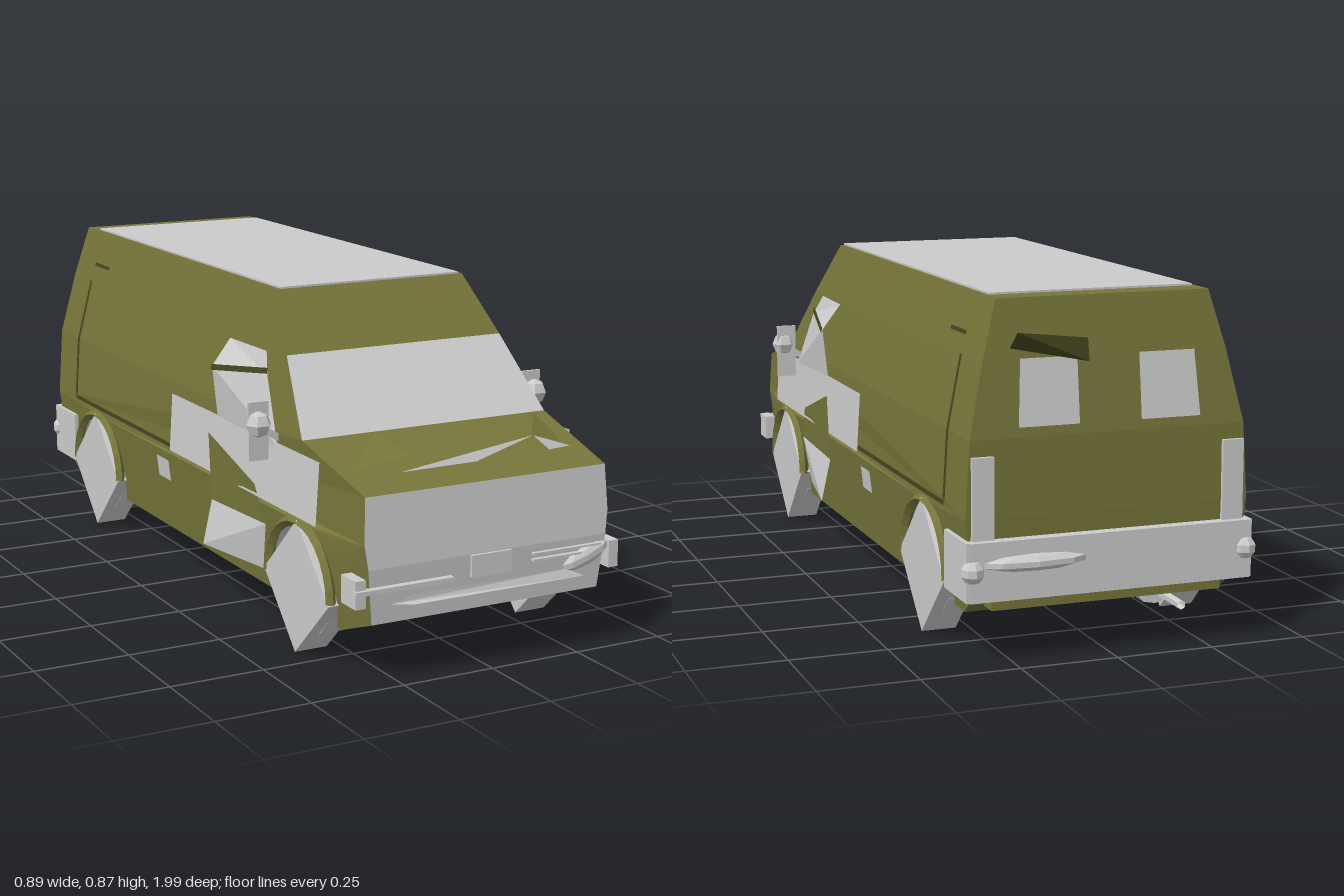
import * as THREE from 'three';

const mat = (color) => new THREE.MeshStandardMaterial({ color, flatShading: true, side: THREE.DoubleSide });
const GREEN = mat(0x76753a), DARK = mat(0x45451f), GREY = mat(0xcccccc);

// half width of the body at height y, narrowing towards the nose
const WIDTH = [[0.115, 0.338], [0.36, 0.367], [0.55, 0.355], [0.73, 0.315], [0.875, 0.275]];
function halfWidth(z, y) {
  let i = 0;
  while (i < WIDTH.length - 2 && y > WIDTH[i + 1][0]) i++;
  const [y0, w0] = WIDTH[i], [y1, w1] = WIDTH[i + 1];
  return w0 + (w1 - w0) * (y - y0) / (y1 - y0) - Math.max(0, z - 0.85) * 0.16;
}

export function createModel() {
  const van = new THREE.Group();
  const add = (name, geometry, material, x = 0, y = 0, z = 0) => {
    const m = new THREE.Mesh(geometry, material);
    m.name = name;
    m.position.set(x, y, z);
    van.add(m);
    return m;
  };
  const box = (name, material, w, h, d, x, y, z) => add(name, new THREE.BoxGeometry(w, h, d), material, x, y, z);
  // flat convex panel from corner points, drawn as a fan
  const panel = (name, material, pts) => {
    const v = [];
    for (let i = 1; i < pts.length - 1; i++) v.push(...pts[0], ...pts[i], ...pts[i + 1]);
    const g = new THREE.BufferGeometry();
    g.setAttribute('position', new THREE.Float32BufferAttribute(v, 3));
    g.computeVertexNormals();
    return add(name, g, material);
  };
  // panel lying on both flanks: corners are [z, y, distance off the body]
  const sidePanel = (name, material, pts) => {
    for (const s of [1, -1])
      panel(name, material, pts.map(([z, y, off = 0.006]) => [s * (halfWidth(z, y) + off), y, z]));
  };
  // flank cut from a side outline and bent to the body width
  const flank = (name, shape) => {
    for (const s of [1, -1]) {
      const g = new THREE.ShapeGeometry(shape), p = g.attributes.position;
      for (let i = 0; i < p.count; i++) {
        const z = p.getX(i), y = p.getY(i);
        p.setXYZ(i, s * halfWidth(z, y), y, z);
      }
      g.computeVertexNormals();
      add(name, g, GREEN);
    }
  };
  const outline = (pts) => new THREE.Shape(pts.map(([a, b]) => new THREE.Vector2(a, b)));

  // body flanks in horizontal bands, the lowest with wheel arches
  const WHEELS = [-0.63, 0.675], AXLE = 0.18, ARCH = 0.165;
  const lower = [[-0.85, 0.115]];
  for (const zc of WHEELS)
    for (let i = 0; i <= 14; i++) {
      const a = Math.PI + 0.405 - (Math.PI + 0.81) * i / 14;
      lower.push([zc + ARCH * Math.cos(a), AXLE + ARCH * Math.sin(a)]);
    }
  lower.push([0.85, 0.115], [0.97, 0.16], [0.98, 0.3], [0.975, 0.36], [-0.937, 0.36], [-0.93, 0.17]);
  flank('lowerSide', outline(lower));
  flank('middleSide', outline([[-0.937, 0.36], [0.975, 0.36], [0.965, 0.475], [0.675, 0.55], [-0.935, 0.55]]));
  flank('upperSide', outline([[-0.935, 0.55], [0.675, 0.55], [0.517, 0.73], [-0.912, 0.73]]));
  flank('roofSide', outline([[-0.912, 0.73], [0.517, 0.73], [0.39, 0.875], [-0.89, 0.875]]));

  // skins spanning the body from side to side
  const skin = (name, material, pts) => {
    for (let i = 0; i < pts.length - 1; i++) {
      const [[z0, y0], [z1, y1]] = [pts[i], pts[i + 1]];
      const a = halfWidth(z0, y0), b = halfWidth(z1, y1);
      panel(name, material, [[a, y0, z0], [-a, y0, z0], [-b, y1, z1], [b, y1, z1]]);
    }
  };
  skin('frontValance', GREEN, [[0.85, 0.115], [0.97, 0.16]]);
  skin('nose', GREY, [[0.97, 0.16], [0.98, 0.3], [0.975, 0.36], [0.965, 0.475]]);
  skin('hood', GREEN, [[0.965, 0.475], [0.675, 0.55]]);
  skin('windscreen', GREY, [[0.675, 0.55], [0.517, 0.73]]);
  skin('roof', GREEN, [[0.517, 0.73], [0.39, 0.875], [-0.89, 0.875]]);
  skin('back', GREEN, [[-0.89, 0.875], [-0.912, 0.73], [-0.935, 0.55], [-0.937, 0.36], [-0.93, 0.17], [-0.85, 0.115]]);
  box('roofPanel', GREY, 0.53, 0.008, 1.21, 0, 0.876, -0.215);

  // floor with notches for the wheels
  const floor = [[0.338, -0.85]];
  for (const zc of WHEELS) floor.push([0.338, zc - 0.152], [0.24, zc - 0.152], [0.24, zc + 0.152], [0.338, zc + 0.152]);
  floor.push([0.338, 0.85]);
  const mirrored = floor.map(([x, z]) => [-x, z]).reverse();
  add('floor', new THREE.ShapeGeometry(outline([...floor, ...mirrored])).rotateX(Math.PI / 2), GREY, 0, 0.115, 0);

  // wheels, square outer covers, wells and arch lips
  for (const zc of WHEELS)
    for (const s of [1, -1]) {
      const cyl = (name, r, w, sides, x) =>
        add(name, new THREE.CylinderGeometry(r, r, w, sides).rotateZ(Math.PI / 2), GREY, s * x, AXLE, zc);
      cyl('tyre', 0.127, 0.085, 12, 0.297);
      cyl('hub', 0.07, 0.1, 12, 0.295);
      cyl('wheelCover', 0.172, 0.09, 4, 0.328).rotation.x = zc > 0 ? 0.02 : 0;
      const well = new THREE.CylinderGeometry(ARCH, ARCH, 0.125, 14, 1, true, 0, Math.PI);
      add('wheelWell', well.rotateZ(Math.PI / 2), GREY, s * 0.3, AXLE, zc);
      add('wellWall', new THREE.CircleGeometry(ARCH, 14, 0, Math.PI).rotateY(Math.PI / 2), GREY, s * 0.24, AXLE, zc);
      add('archLip', new THREE.TorusGeometry(0.165, 0.014, 4, 14, Math.PI).rotateY(Math.PI / 2), GREEN, s * 0.363, AXLE, zc);
    }

  // front doors, standing slightly proud at their rear edge
  sidePanel('sideStrip', GREY, [[0.78, 0.36], [-0.08, 0.36], [-0.08, 0.52], [0.78, 0.52]]);
  sidePanel('doorWindow', GREY, [[0.56, 0.51], [0.22, 0.52, 0.01], [0.22, 0.655, 0.05], [0.46, 0.67, 0.012]]);
  sidePanel('doorWindowTop', GREY, [[0.46, 0.67, 0.012], [0.22, 0.655, 0.05], [0.22, 0.725, 0.012], [0.42, 0.725]]);
  sidePanel('windowFrame', DARK, [[0.46, 0.675, 0.015], [0.22, 0.645, 0.052], [0.22, 0.66, 0.052], [0.46, 0.69, 0.015]]);
  sidePanel('doorPanel', GREEN, [[0.5, 0.3, 0.008], [0.19, 0.29, 0.014], [0.19, 0.47, 0.02], [0.45, 0.39, 0.009]]);
  sidePanel('doorBottom', GREY, [[0.5, 0.295, 0.008], [0.46, 0.165, 0.01], [0.19, 0.165, 0.055], [0.19, 0.285, 0.014]]);
  sidePanel('fuelFlap', GREY, [[-0.1, 0.265], [-0.18, 0.265], [-0.18, 0.325], [-0.1, 0.325]]);

  // grooves framing the cargo side
  sidePanel('sideGroove', DARK, [[-0.08, 0.366, 0.003], [-0.79, 0.366, 0.003], [-0.79, 0.378, 0.003], [-0.08, 0.378, 0.003]]);
  sidePanel('rearGroove', DARK, [[-0.78, 0.38, 0.003], [-0.795, 0.38, 0.003], [-0.793, 0.55, 0.003], [-0.778, 0.55, 0.003]]);
  sidePanel('rearGroove', DARK, [[-0.778, 0.55, 0.003], [-0.793, 0.55, 0.003], [-0.778, 0.73, 0.003], [-0.764, 0.73, 0.003]]);
  sidePanel('topGroove', DARK, [[-0.66, 0.775, 0.003], [-0.77, 0.775, 0.003], [-0.77, 0.785, 0.003], [-0.66, 0.785, 0.003]]);

  for (const s of [1, -1]) {
    // mirrors
    box('mirrorPlate', GREY, 0.055, 0.15, 0.008, s * 0.405, 0.55, 0.535);
    add('mirrorShell', new THREE.SphereGeometry(0.034, 6, 4), GREY, s * 0.41, 0.57, 0.548);
    const arm = box('mirrorArm', GREY, 0.07, 0.018, 0.02, s * 0.37, 0.54, 0.54);
    arm.rotation.z = s * 0.5;
    // bumper corners
    box('frontBumperEnd', GREY, 0.028, 0.07, 0.07, s * 0.362, 0.245, 0.95);
    box('rearBumperSide', GREY, 0.012, 0.145, 0.16, s * 0.366, 0.238, -0.88);
    add('rearBumperEnd', new THREE.SphereGeometry(0.03, 8, 5), GREY, s * 0.355, 0.24, -0.955);
    // tail lamps and back windows
    box('tailLamp', GREY, 0.055, 0.2, 0.012, s * 0.325, 0.41, -0.94);
    panel('backWindow', GREY, [[s * 0.08, 0.575, -0.942], [s * 0.235, 0.575, -0.942], [s * 0.225, 0.735, -0.922], [s * 0.08, 0.735, -0.922]]);
    box('frameRail', GREY, 0.02, 0.012, 0.42, s * 0.17, 0.11, 0.58);
  }
  panel('windowHood', DARK, [[0.05, 0.72, -0.925], [0.25, 0.76, -0.92], [0.24, 0.8, -0.945], [0.05, 0.775, -0.915]]);

  // front bumper details
  box('frontBumperBar', GREY, 0.27, 0.012, 0.02, -0.245, 0.25, 0.985);
  box('frontPlate', GREY, 0.115, 0.055, 0.008, 0, 0.272, 0.985);
  panel('frontLip', GREY, [[-0.28, 0.21, 0.983], [-0.22, 0.203, 0.992], [0.27, 0.203, 0.992], [0.22, 0.225, 0.983], [-0.22, 0.225, 0.983]]);
  const dent = add('bumperDent', new THREE.SphereGeometry(0.03, 8, 5), GREY, 0.28, 0.25, 0.98);
  dent.scale.set(2.4, 0.8, 0.6);
  dent.rotation.z = 0.35;
  for (const y of [0.262, 0.278]) box('bumperRib', GREY, 0.2, 0.005, 0.014, 0.22, y, 0.983);

  // buckled hood with a gap at its front edge
  const crease = [[-0.31, 0.512, 0.85], [-0.16, 0.535, 0.87], [0.02, 0.535, 0.86], [0.2, 0.535, 0.85], [0.31, 0.505, 0.83]];
  for (let i = 0; i < 4; i++) {
    const [a, b] = [crease[i], crease[i + 1]];
    panel('hoodBuckle', GREEN, [a, b, [b[0], 0.553, 0.69], [a[0], 0.553, 0.69]]);
  }
  panel('hoodGap', GREY, [[-0.2, 0.5, 0.885], [0.02, 0.5, 0.88], [0.2, 0.54, 0.855], [0.02, 0.52, 0.865]]);
  panel('hoodGap', GREY, [[0.2, 0.54, 0.855], [0.24, 0.502, 0.87], [0.31, 0.502, 0.86]]);

  // rear bumper
  box('rearBumper', GREY, 0.73, 0.145, 0.03, 0, 0.238, -0.95);
  const bulge = add('rearBumperDent', new THREE.SphereGeometry(0.03, 8, 5), GREY, 0.2, 0.255, -0.965);
  bulge.scale.set(4.5, 0.7, 1);
  box('rearStep', GREEN, 0.6, 0.03, 0.05, 0, 0.15, -0.91);

  // underside: cross members and exhaust
  for (const z of [0.38, 0.78]) box('crossMember', GREY, 0.36, 0.012, 0.02, 0, 0.11, z);
  box('frontAxle', GREY, 0.5, 0.025, 0.04, 0, 0.115, 0.675);
  const path = new THREE.CatmullRomCurve3([[0.02, 0.107, 0.45], [-0.03, 0.107, 0.3], [-0.12, 0.1, -0.2], [-0.13, 0.1, -0.45], [-0.19, 0.105, -0.75], [-0.2, 0.1, -0.93]].map((p) => new THREE.Vector3(...p)));
  add('exhaustPipe', new THREE.TubeGeometry(path, 20, 0.012, 6), GREY);
  for (const [x, z, len] of [[-0.13, -0.3, 0.26], [-0.18, -0.72, 0.2]]) {
    const muffler = add('muffler', new THREE.CylinderGeometry(0.045, 0.045, len, 8).rotateX(Math.PI / 2), GREY, x, 0.1, z);
    muffler.scale.y = 0.5;
  }
  return van;
}
